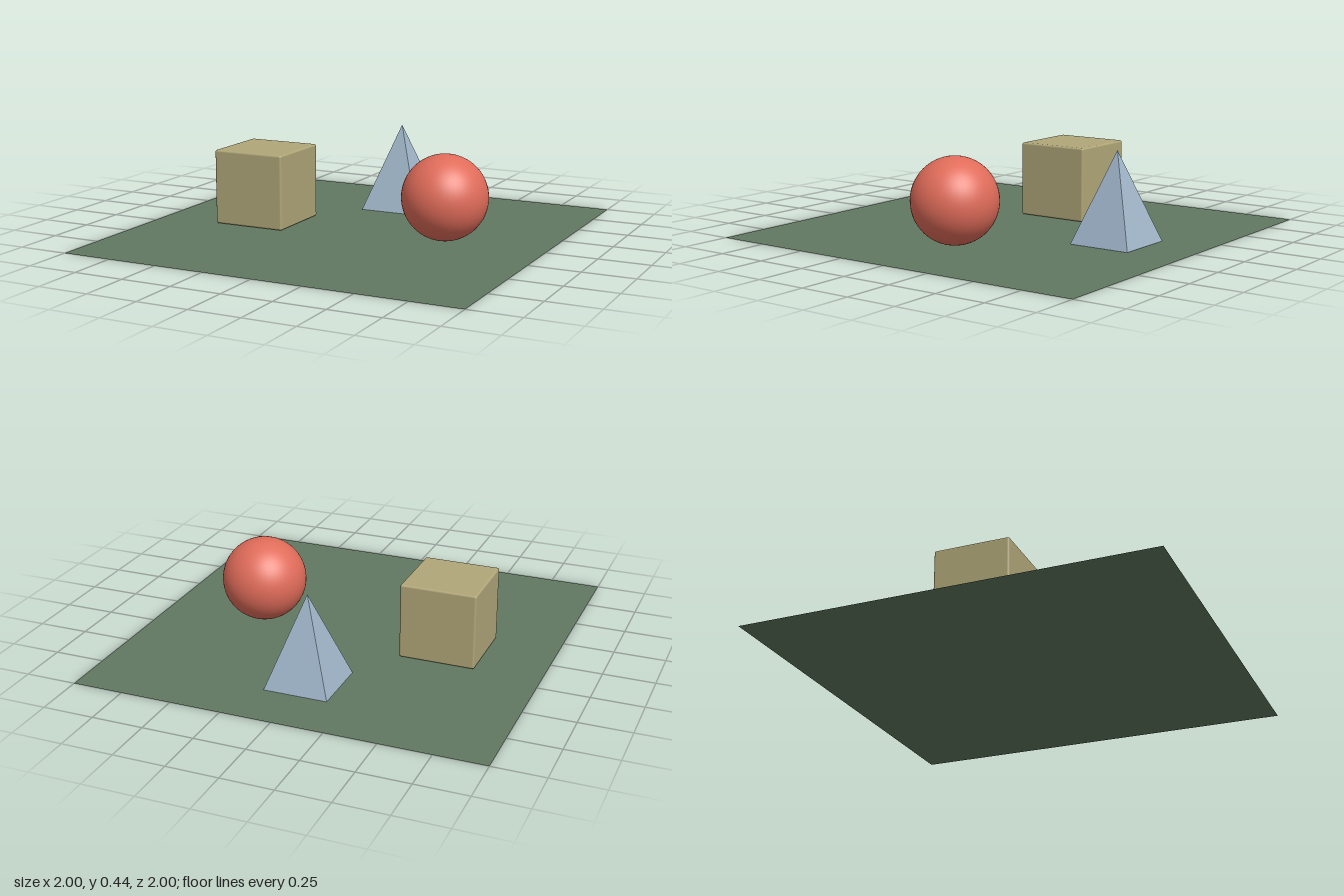
import * as THREE from 'three';
import { RoundedBoxGeometry } from 'three/addons/geometries/RoundedBoxGeometry.js';

function material(name, color, options = {}) {
  const m = new THREE.MeshStandardMaterial({ color, ...options });
  m.name = name;
  return m;
}

export function createModel() {
  const group = new THREE.Group();
  group.name = 'shapesOnGround';

  const add = (name, geometry, mat, x, y, z) => {
    const mesh = new THREE.Mesh(geometry, mat);
    mesh.name = name;
    mesh.position.set(x, y, z);
    group.add(mesh);
  };

  // Flat square ground sheet, visible from both sides
  add('ground', new THREE.PlaneGeometry(2, 2).rotateX(-Math.PI / 2),
    material('mossGreen', 0x607860, { side: THREE.DoubleSide }), 0, 0, 0);

  // Cube with slightly softened edges
  add('cube', new RoundedBoxGeometry(0.376, 0.376, 0.376, 2, 0.01),
    material('sand', 0xb0a678), -0.49, 0.191, 0);

  // Smooth ball
  add('ball', new THREE.SphereGeometry(0.21, 48, 32),
    material('coral', 0xe06c5a), 0.49, 0.214, 0);

  // Square pyramid, sides parallel to the ground edges
  const pyramid = new THREE.ConeGeometry(0.157 * Math.SQRT2, 0.44, 4).rotateY(Math.PI / 4);
  add('pyramid', pyramid,
    material('paleBlue', 0xa0b6ca, { flatShading: true }), 0, 0.222, -0.58);

  return group;
}
